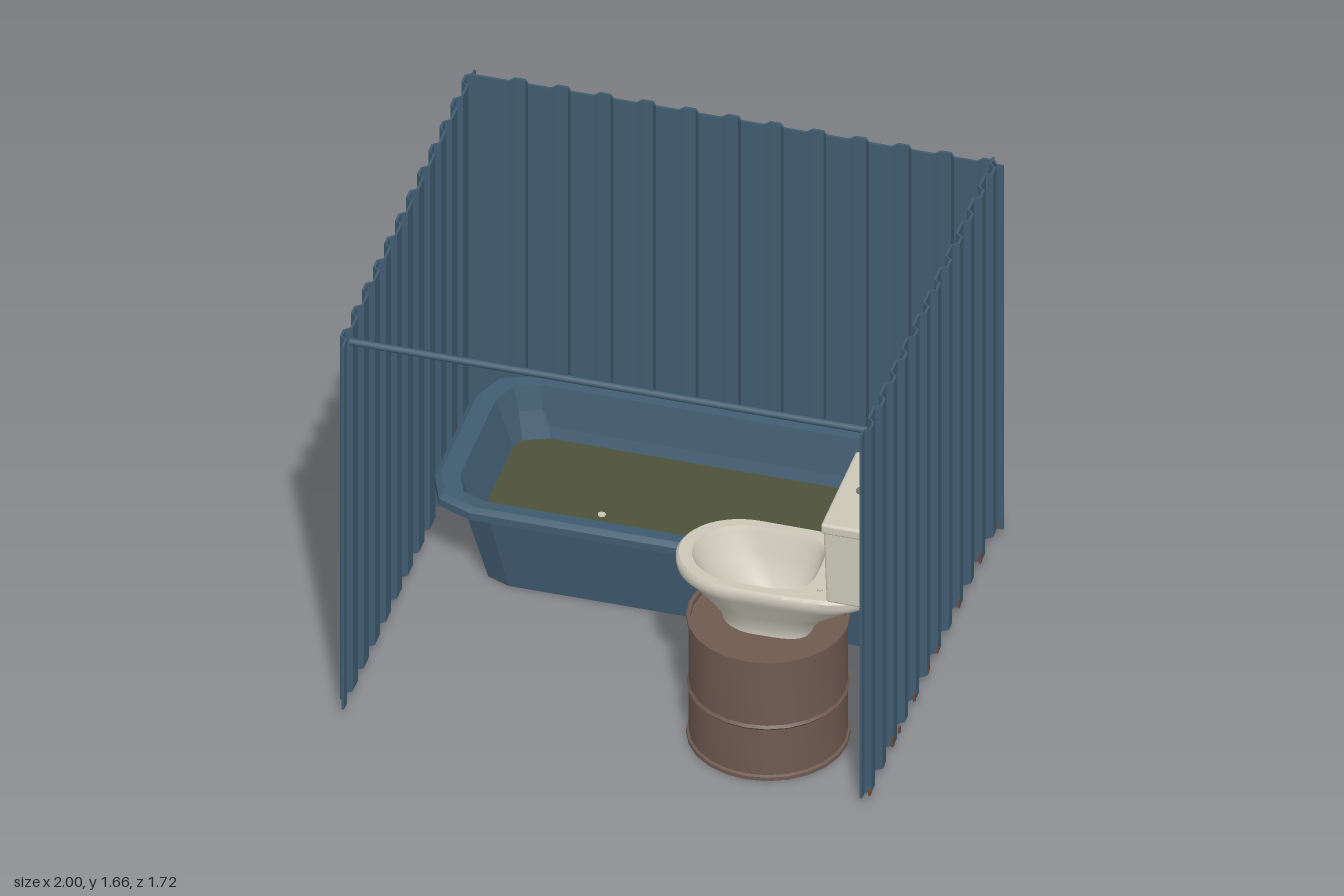
import * as THREE from 'three';
import { toCreasedNormals } from 'three/addons/utils/BufferGeometryUtils.js';
import { RoundedBoxGeometry } from 'three/addons/geometries/RoundedBoxGeometry.js';

const mat = (name, color, side = THREE.FrontSide) => {
  const m = new THREE.MeshStandardMaterial({ color, side });
  m.name = name;
  return m;
};

// Skin a list of closed rings (each an array of Vector3), running up the outside
function loft(rings, crease, skip = () => false) {
  const n = rings[0].length, pos = [], index = [];
  rings.forEach(r => r.forEach(p => pos.push(p.x, p.y, p.z)));
  for (let i = 0; i < rings.length - 1; i++)
    for (let j = 0; j < n; j++) {
      if (skip(i, j)) continue;
      const k = (j + 1) % n, a = i * n, b = a + n;
      index.push(a + j, b + j, a + k, a + k, b + j, b + k);
    }
  const g = new THREE.BufferGeometry();
  g.setAttribute('position', new THREE.Float32BufferAttribute(pos, 3));
  g.setIndex(index);
  return toCreasedNormals(g, crease);
}

// Rounded rectangle ring with two-step corners
function tubRing(x0, x1, z0, z1, r, y) {
  const out = [];
  const corners = [[x1 - r, z1 - r], [x0 + r, z1 - r], [x0 + r, z0 + r], [x1 - r, z0 + r]];
  corners.forEach(([cx, cz], q) => {
    for (let s = 0; s <= 2; s++) {
      const a = (q + s / 2) * Math.PI / 2;
      out.push(new THREE.Vector3(cx + r * Math.cos(a), y, cz + r * Math.sin(a)));
    }
  });
  return out;
}

// Egg outline: round towards -x, squarer towards +x
function eggRing(x0, x1, hw, y, zc = 0.505, n = 40) {
  const xc = x0 + hw * 1.15, out = [];
  for (let i = 0; i < n; i++) {
    const a = i / n * Math.PI * 2, c = Math.cos(a), s = Math.sin(a);
    const e = c > 0 ? 0.5 : 1;
    const f = v => Math.sign(v) * Math.pow(Math.abs(v), e);
    out.push(new THREE.Vector3(xc + (c > 0 ? x1 - xc : xc - x0) * f(c), y, zc + hw * f(s)));
  }
  return out;
}

// Flat fan that closes a ring
function cap(ring, up) {
  const pts = ring.map(p => new THREE.Vector2(p.x, up ? -p.z : p.z));
  const g = new THREE.ShapeGeometry(new THREE.Shape(pts));
  g.rotateX(up ? -Math.PI / 2 : Math.PI / 2);
  return g.translate(0, ring[0].y, 0);
}

// Corrugated sheet running along x, ribs pushed out towards -z
function corrugated(u0, u1, first, period, y0, y1) {
  const depth = 0.022, t = 0.009, line = [[u0, 0]];
  for (let c = first; c + 0.04 < u1; c += period)
    line.push([c - 0.037, 0], [c - 0.02, depth], [c + 0.02, depth], [c + 0.037, 0]);
  line.push([u1, 0]);
  const outline = [...line.map(([u, d]) => [u, d - t]), ...line.slice().reverse()];
  const shape = new THREE.Shape(outline.map(p => new THREE.Vector2(...p)));
  const g = new THREE.ExtrudeGeometry(shape, { depth: y1 - y0, bevelEnabled: false });
  return g.rotateX(-Math.PI / 2).translate(0, y0, 0);
}

export function createModel() {
  const root = new THREE.Group();
  const blue = mat('blue paint', 0x405c70, THREE.DoubleSide);
  const brown = mat('barrel brown', 0x6e5a50, THREE.DoubleSide);
  const white = mat('ceramic white', 0xcbc7b9, THREE.DoubleSide);
  const olive = mat('murky olive', 0x4d5239);
  const rust = mat('rust', 0x6b4a38);
  const tan = mat('bare tan', 0x85776a, THREE.DoubleSide);
  const grey = mat('button grey', 0x77756d);

  const add = (name, geo, material, x = 0, y = 0, z = 0, parent = root) => {
    const m = new THREE.Mesh(geo, material);
    m.name = name;
    m.position.set(x, y, z);
    parent.add(m);
    return m;
  };

  // Three corrugated walls
  add('backWall', corrugated(-0.98, 1, -0.8, 0.158, 0.04, 1.66), blue, 0, 0, -0.825);
  add('rightSideWall', corrugated(-0.86, 0.86, -0.783, 0.1431, 0.04, 1.66), blue, 0.955).rotation.y = -Math.PI / 2;
  add('leftSideWall', corrugated(-0.86, 0.85, -0.783, 0.1431, 0.04, 1.66), blue, -0.976).rotation.y = Math.PI / 2;

  // Rust chips along the wall feet
  [0.83, 0.66, 0.53, 0.445, 0.25, 0.08, -0.05, -0.33, -0.605, -0.82].forEach((z, i) => {
    const h = 0.025 + 0.02 * (i % 3) / 2;
    add('sideRust', new THREE.BoxGeometry(0.008, h, 0.014), rust, 0.975, 0.04 + h / 2, z);
    add('backRust', new THREE.BoxGeometry(0.014, h, 0.008), rust, z * 1.1, 0.04 + h / 2, -0.845);
  });

  // Curtain rod
  add('curtainRod', new THREE.CylinderGeometry(0.014, 0.014, 1.92, 8).rotateZ(Math.PI / 2), blue, -0.01, 1.617, 0.77);

  // Bathtub: outer shell, rolled rim and inner wall
  const tub = new THREE.Group();
  tub.name = 'bathtub';
  root.add(tub);
  const rings = [
    tubRing(-0.74, 0.8, -0.65, -0.06, 0.12, 0),
    tubRing(-0.83, 0.9, -0.765, -0.01, 0.15, 0.33),
    tubRing(-0.92, 0.94, -0.815, 0.03, 0.18, 0.335),
    tubRing(-0.92, 0.94, -0.815, 0.03, 0.18, 0.365),
    tubRing(-0.9, 0.92, -0.8, 0.01, 0.17, 0.38),
    tubRing(-0.83, 0.86, -0.762, -0.04, 0.13, 0.375),
    tubRing(-0.765, 0.82, -0.718, -0.09, 0.09, 0.18),
  ];
  const bare = (i, j) => i === 0 && (j === 6 || j === 9);
  add('tubShell', loft(rings, 0.3, bare), blue, 0, 0, 0, tub);
  add('barePatches', loft(rings.slice(0, 2), 0.3, (i, j) => !bare(i, j)), tan, 0, 0, 0, tub);
  add('tubBottom', cap(rings[0], false), blue, 0, 0, 0, tub);
  add('tubWater', cap(rings[6], true), olive, 0, 0, 0, tub);
  for (const x of [-0.35, 0.19, 0.73])
    add('waterFleck', new THREE.CylinderGeometry(0.015, 0.015, 0.004, 7), white, x, 0.182, -0.327, tub);

  // Barrel: open foot, pressed ring, recessed lid
  const barrelProfile = [
    [0.285, 0], [0.293, 0], [0.293, 0.015], [0.284, 0.02], [0.284, 0.22], [0.292, 0.23], [0.284, 0.24],
    [0.284, 0.505], [0.293, 0.51], [0.293, 0.525], [0.278, 0.525], [0.278, 0.505], [0, 0.505],
  ].map(p => new THREE.Vector2(...p));
  add('barrel', toCreasedNormals(new THREE.LatheGeometry(barrelProfile, 24), 0.5), brown, 0.51, 0, 0.52);

  // Toilet bowl: flared foot, rim, hollow basin open at the drain
  const toilet = new THREE.Group();
  toilet.name = 'toilet';
  root.add(toilet);
  const bowl = [
    [0.34, 0.68, 0.12, 0.507], [0.335, 0.685, 0.12, 0.535], [0.28, 0.75, 0.16, 0.61], [0.2, 0.88, 0.2, 0.695],
    [0.175, 0.915, 0.21, 0.712], [0.17, 0.92, 0.215, 0.73], [0.17, 0.92, 0.215, 0.752], [0.18, 0.912, 0.205, 0.764],
    [0.228, 0.7, 0.172, 0.764], [0.24, 0.69, 0.162, 0.745], [0.29, 0.675, 0.14, 0.67],
    [0.38, 0.65, 0.1, 0.59], [0.46, 0.615, 0.062, 0.54],
  ].map(r => eggRing(...r));
  add('bowl', loft(bowl, 0.7), white, 0, 0, 0, toilet);

  // Cistern: box narrowing slightly downwards, lid, button, seat bolts
  const cistern = new RoundedBoxGeometry(0.162, 0.32, 0.44, 2, 0.012);
  const p = cistern.attributes.position;
  for (let i = 0; i < p.count; i++) {
    const k = 0.97 + 0.03 * (p.getY(i) + 0.16) / 0.32;
    p.setX(i, 0.081 + (p.getX(i) - 0.081) * (k - 0.03 * (p.getY(i) < 0)));
    p.setZ(i, p.getZ(i) * k);
  }
  add('cistern', cistern, white, 0.852, 0.935, 0.505, toilet);
  add('cisternFoot', new THREE.BoxGeometry(0.12, 0.03, 0.32), white, 0.85, 0.77, 0.505, toilet);
  add('cisternLid', new RoundedBoxGeometry(0.172, 0.045, 0.46, 2, 0.012), white, 0.851, 1.11, 0.505, toilet);
  add('flushButton', new THREE.CylinderGeometry(0.02, 0.02, 0.009, 16), grey, 0.852, 1.134, 0.505, toilet);
  for (const z of [0.373, 0.637])
    add('seatBolt', new THREE.CylinderGeometry(0.011, 0.011, 0.008, 12), white, 0.735, 0.767, z, toilet);

  return root;
}
